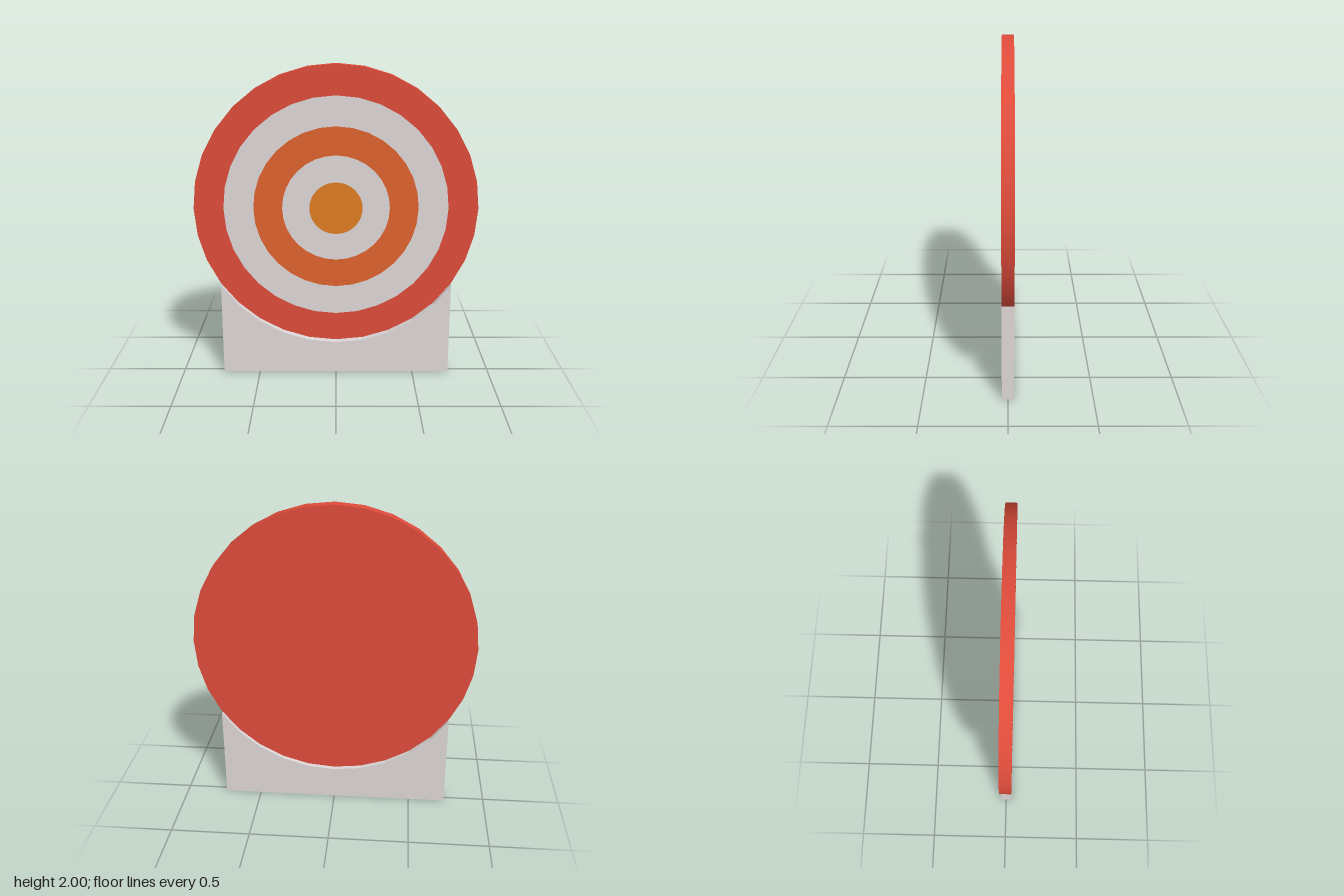
import * as THREE from 'three';

const SIDES = 32;
const RADIUS = 0.885;
const CENTRE_Y = 1.115;
const HALF = 0.036; // half thickness of board and stand

function material(name, color, side = THREE.FrontSide) {
  const m = new THREE.MeshStandardMaterial({ color, side });
  m.name = name;
  return m;
}

export function createModel() {
  const group = new THREE.Group();
  const red = material('red', 0xdf4c3b);
  const white = material('warmWhite', 0xdfd8d8);
  const orange = material('orange', 0xdf632f);
  const amber = material('amber', 0xdf7e24);

  const add = (parent, name, geometry, mat) => {
    const mesh = new THREE.Mesh(geometry, mat);
    mesh.name = name;
    parent.add(mesh);
    return mesh;
  };

  // Round board: rim, back and flush coloured rings on the front
  const board = new THREE.Group();
  board.name = 'targetBoard';
  board.position.y = CENTRE_Y;
  group.add(board);

  const rim = new THREE.CylinderGeometry(RADIUS, RADIUS, HALF * 2, SIDES, 1, true);
  add(board, 'rim', rim.rotateX(Math.PI / 2), red);

  const back = new THREE.CircleGeometry(RADIUS, SIDES).rotateY(Math.PI);
  add(board, 'back', back.translate(0, 0, -HALF), red);

  const rings = [
    ['outerRing', RADIUS, 0.7, red],
    ['outerWhiteRing', 0.7, 0.514, white],
    ['middleRing', 0.514, 0.335, orange],
    ['innerWhiteRing', 0.335, 0.166, white],
  ];
  for (const [name, outer, inner, mat] of rings) {
    add(board, name, new THREE.RingGeometry(inner, outer, SIDES).translate(0, 0, HALF), mat);
  }
  add(board, 'bullseye', new THREE.CircleGeometry(0.166, SIDES).translate(0, 0, HALF), amber);

  // Stand: a slab with a faceted cradle following the board, just below it
  const cradle = [];
  for (let i = -5; i <= 5; i++) {
    const a = (i * 2 * Math.PI) / SIDES;
    cradle.push(new THREE.Vector2(-RADIUS * Math.sin(a), CENTRE_Y - 0.02 - RADIUS * Math.cos(a)));
  }
  const edge = cradle[0].x;
  const outline = new THREE.Shape([
    new THREE.Vector2(-edge, 0),
    new THREE.Vector2(edge, 0),
    ...cradle,
  ]);
  const slab = new THREE.ExtrudeGeometry(outline, { depth: HALF * 2, bevelEnabled: false });
  add(group, 'stand', slab.translate(0, 0, -HALF), white);

  return group;
}
